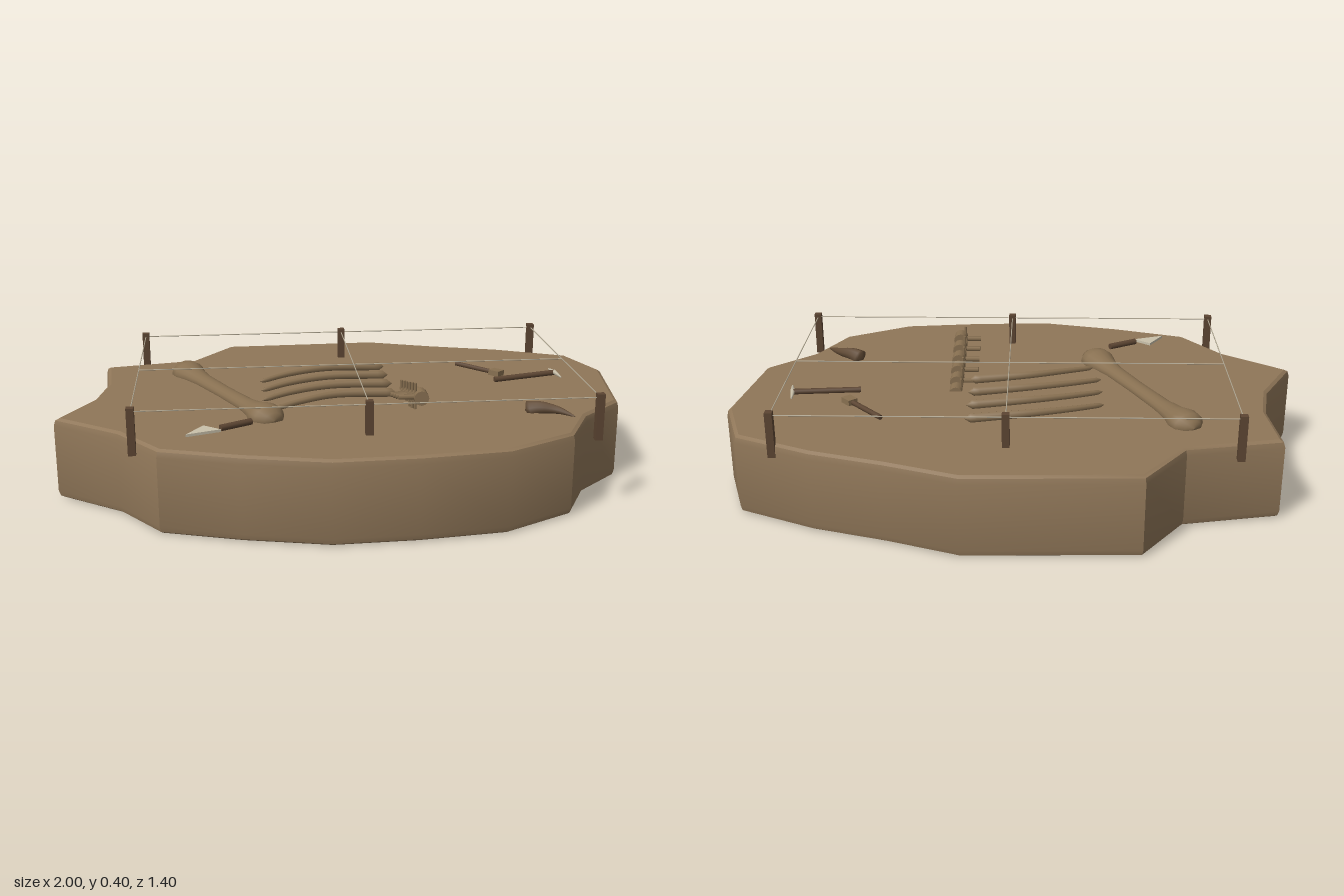
import * as THREE from 'three';
import { toCreasedNormals } from 'three/addons/utils/BufferGeometryUtils.js';

const mat = (name, color) => new THREE.MeshStandardMaterial({ name, color });
const V = (x, y, z) => new THREE.Vector3(x, y, z);
const GROUND = 0.283;

export function createModel() {
  const earth = mat('earth', 0x8f7658);
  const bone = mat('bone', 0x887051);
  const wood = mat('wood', 0x5c4532);
  const string = mat('string', 0xb8ae98);
  const steel = mat('steel', 0xc9c0aa);
  const horn = mat('horn', 0x5f4934);

  const model = new THREE.Group();
  model.name = 'excavationSite';
  const group = (name) => {
    const g = new THREE.Group();
    g.name = name;
    model.add(g);
    return g;
  };
  const add = (parent, name, geometry, material, pos = V(0, 0, 0)) => {
    const m = new THREE.Mesh(geometry, material);
    m.name = name;
    m.position.copy(pos);
    parent.add(m);
    return m;
  };
  // Aligns a mesh's local y axis with the line from a to b
  const span = (mesh, a, b) => {
    mesh.position.copy(a).add(b).multiplyScalar(0.5);
    mesh.quaternion.setFromUnitVectors(V(0, 1, 0), b.clone().sub(a).normalize());
    return mesh;
  };
  const rod = (parent, name, a, b, r, material, sides = 8) =>
    span(add(parent, name, new THREE.CylinderGeometry(r, r, a.distanceTo(b), sides), material), a, b);
  // Tube whose radius follows a rule along its length, closed at both ends
  const taperedTube = (points, radius, segments = 24, sides = 8) => {
    const curve = new THREE.CatmullRomCurve3(points);
    const geo = new THREE.TubeGeometry(curve, segments, 1, sides);
    const p = geo.attributes.position, v = V(0, 0, 0);
    for (let i = 0; i < p.count; i++) {
      const ring = Math.floor(i / (sides + 1));
      const c = curve.getPointAt(ring / segments);
      const r = ring === 0 || ring === segments ? 0.0005 : radius(ring / segments);
      v.fromBufferAttribute(p, i).sub(c).multiplyScalar(r).add(c);
      p.setXYZ(i, v.x, v.y, v.z);
    }
    geo.computeVertexNormals();
    return geo;
  };

  // Irregular slab of earth with bevelled rims
  const outline = [
    [-0.875, -0.425], [-0.55, -0.49], [-0.405, -0.69], [0.17, -0.705], [0.415, -0.615],
    [0.66, -0.54], [0.92, -0.42], [0.995, -0.2], [0.94, 0.19], [0.785, 0.335],
    [0.69, 0.525], [0.455, 0.655], [0.165, 0.69], [-0.11, 0.7], [-0.385, 0.635],
    [-0.645, 0.55], [-0.78, 0.365], [-1, 0.2], [-0.885, -0.02], [-0.855, -0.19],
  ].map(([x, z]) => new THREE.Vector2(x, -z)).reverse();
  const slab = new THREE.ExtrudeGeometry(new THREE.Shape(outline), {
    depth: GROUND - 0.05, bevelThickness: 0.025, bevelSize: 0.016, bevelOffset: -0.016, bevelSegments: 2,
  });
  slab.rotateX(-Math.PI / 2).translate(0, 0.025, 0);
  add(model, 'groundSlab', toCreasedNormals(slab, 0.5), earth);

  // Survey grid: six stakes joined by strings
  const grid = group('surveyGrid');
  const xs = [-0.725, 0.03, 0.785], zs = [-0.48, 0.465], sy = 0.384;
  for (const x of xs) {
    for (const z of zs) add(grid, 'stake', new THREE.BoxGeometry(0.025, 0.157, 0.025), wood, V(x, 0.3185, z));
    rod(grid, 'crossString', V(x, sy, zs[0]), V(x, sy, zs[1]), 0.002, string, 5);
  }
  for (const z of [zs[0], -0.0075, zs[1]]) rod(grid, 'longString', V(xs[0], sy, z), V(xs[2], sy, z), 0.002, string, 5);

  // Large leg bone, half sunk in the ground
  const profile = [
    [0, -0.37], [0.032, -0.362], [0.055, -0.335], [0.058, -0.3], [0.044, -0.25], [0.034, -0.17],
    [0.031, 0], [0.034, 0.17], [0.044, 0.24], [0.06, 0.295], [0.057, 0.33], [0.036, 0.362], [0, 0.368],
  ].map(([r, y]) => new THREE.Vector2(r, y));
  const legGeo = new THREE.LatheGeometry(profile, 16).rotateX(Math.PI / 2).scale(1, 0.75, 1);
  const leg = add(model, 'legBone', legGeo, bone, V(-0.427, 0.288, -0.015));
  leg.rotation.y = Math.atan2(0.275, 0.57);

  // Row of curved ribs
  const ribs = group('ribs');
  for (let i = 0; i < 4; i++) {
    const z = -0.15 + i * 0.114, x = i === 3 ? 0.025 : 0;
    const path = [
      V(-0.3 + x, GROUND + 0.004, z), V(-0.19 + x, GROUND + 0.014, z - 0.06),
      V(-0.04, GROUND + 0.019, z - 0.112), V(0.175, GROUND + 0.01, z - 0.14),
    ];
    add(ribs, 'rib', taperedTube(path, (t) => 0.009 + 0.008 * t), bone);
  }

  // Spine: drums with one side spur and one upright spur each
  const spine = group('spine');
  for (let i = 0; i < 6; i++) {
    const v = new THREE.Group();
    v.name = 'vertebra';
    v.position.set(0.22, 0.356 - i * 0.0165, 0.308 - i * 0.0635);
    spine.add(v);
    add(v, 'drum', new THREE.CylinderGeometry(0.025, 0.025, 0.052, 12).rotateX(Math.PI / 2), bone);
    add(v, 'sideSpur', new THREE.CylinderGeometry(0.009, 0.009, 0.055, 6).rotateZ(Math.PI / 2), bone, V(-0.047, 0, 0));
    add(v, 'uprightSpur', new THREE.CylinderGeometry(0.005, 0.005, 0.09, 6), bone, V(-0.018, 0.002, 0));
  }

  // Curved claw
  const claw = [V(0.588, 0.283, 0.268), V(0.63, 0.297, 0.288), V(0.685, 0.297, 0.318), V(0.733, 0.289, 0.372)];
  add(model, 'claw', taperedTube(claw, (t) => 0.03 * (1 - t) + 0.002, 16, 10), horn);

  // Trowel with flat pointed blade
  const trowel = group('trowel');
  rod(trowel, 'trowelHandle', V(-0.445, 0.306, 0.422), V(-0.345, 0.306, 0.364), 0.011, wood);
  const bladeShape = new THREE.Shape([[-0.555, 0.482], [-0.443, 0.441], [-0.5, 0.396]].map(([x, z]) => new THREE.Vector2(x, -z)));
  const blade = new THREE.ExtrudeGeometry(bladeShape, { depth: 0.009, bevelEnabled: false }).rotateX(-Math.PI / 2);
  add(trowel, 'trowelBlade', blade, steel, V(0, 0.299, 0));

  // Brush
  const brush = group('brush');
  rod(brush, 'brushHandle', V(0.455, 0.296, -0.292), V(0.565, 0.296, -0.168), 0.009, wood);
  const bristles = add(brush, 'bristles', new THREE.BoxGeometry(0.036, 0.02, 0.045), bone, V(0.579, 0.297, -0.152));
  bristles.rotation.y = Math.atan2(0.11, 0.124);

  // Small pick
  const pick = group('pick');
  rod(pick, 'pickHandle', V(0.552, 0.298, -0.057), V(0.785, 0.306, -0.1), 0.01, wood);
  for (const tip of [V(0.78, 0.304, -0.153), V(0.796, 0.304, -0.042)]) {
    const point = add(pick, 'pickPoint', new THREE.CylinderGeometry(0.003, 0.009, 0.058, 6), steel);
    span(point, V(0.785, 0.308, -0.098), tip);
  }

  return model;
}
